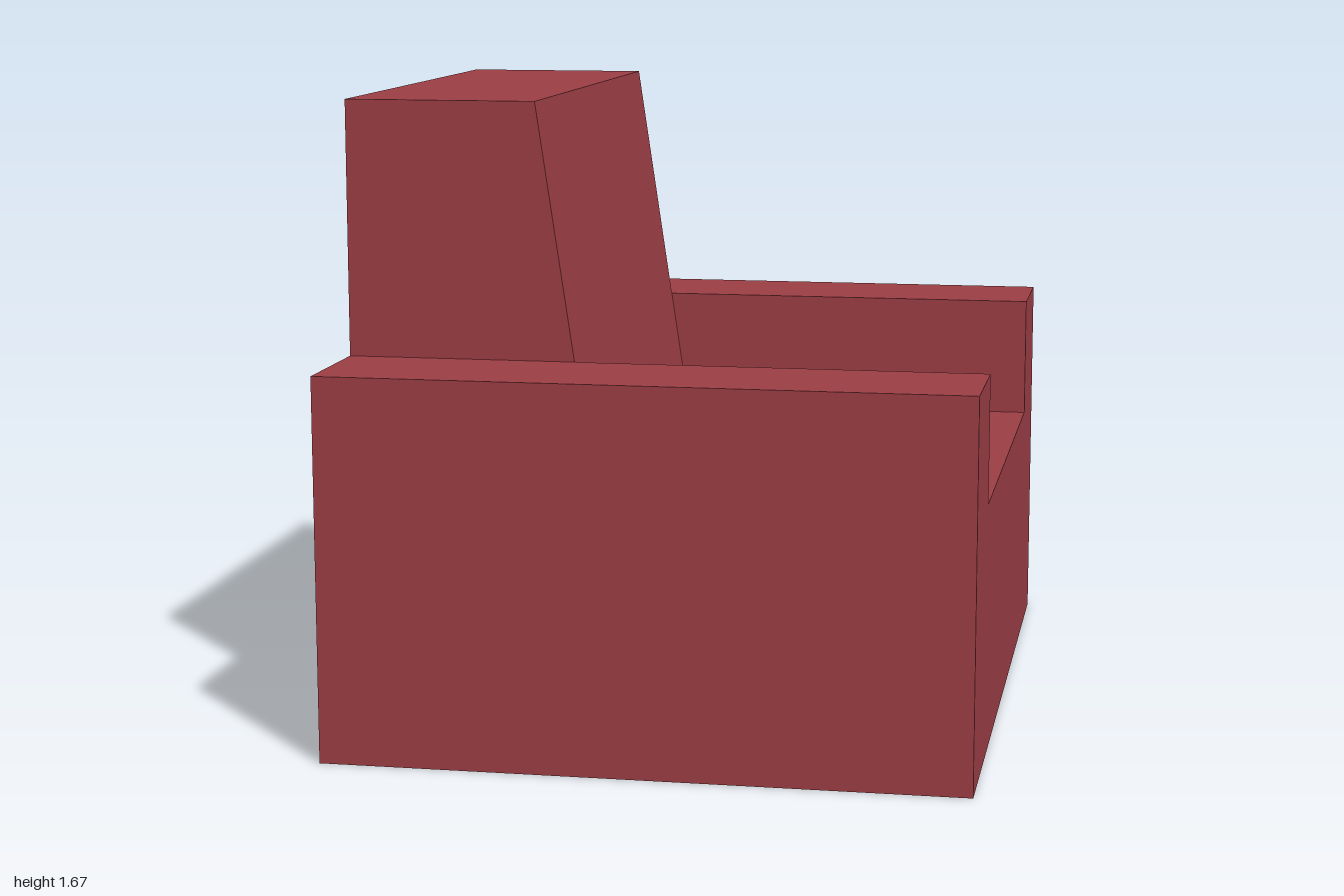
import * as THREE from 'three';

// Main dimensions of the armchair shell (open underneath)
const X = 0.833, Z = 1, INNER = 0.667;
const SEAT = 0.667, ARM = 1, TOP = 1.667;
// Front of the backrest slopes from the seat up to the top
const slopeX = (y) => -0.185 - 0.148 * (y - SEAT) / (TOP - SEAT);

export function createModel() {
  const chair = new THREE.Group();
  chair.name = 'armchair';
  const red = new THREE.MeshStandardMaterial({ color: 0x9a3d44, side: THREE.DoubleSide });
  red.name = 'red upholstery';

  // Flat convex panel, corners counter-clockwise seen from outside
  function panel(name, corners, parent = chair) {
    const points = [];
    for (let i = 1; i < corners.length - 1; i++) {
      points.push(...corners[0], ...corners[i], ...corners[i + 1]);
    }
    const geometry = new THREE.BufferGeometry();
    geometry.setAttribute('position', new THREE.Float32BufferAttribute(points, 3));
    geometry.computeVertexNormals();
    const mesh = new THREE.Mesh(geometry, red);
    mesh.name = name;
    parent.add(mesh);
  }

  // Rectangle facing along x, at a given x
  const acrossX = (x, y0, y1, z0, z1) => [[x, y0, z1], [x, y0, z0], [x, y1, z0], [x, y1, z1]];

  // Seat and the panel below its open edge
  const seatBack = slopeX(SEAT);
  panel('seat', [[seatBack, SEAT, INNER], [X, SEAT, INNER], [X, SEAT, -INNER], [seatBack, SEAT, -INNER]]);
  panel('seatApron', acrossX(X, 0, SEAT, -Z, Z));

  // Backrest: sloped cushion face, top and rear
  const topX = slopeX(TOP), armX = slopeX(ARM);
  panel('backrestFront', [[seatBack, SEAT, INNER], [seatBack, SEAT, -INNER], [topX, TOP, -INNER], [topX, TOP, INNER]]);
  panel('backrestTop', [[-X, TOP, INNER], [topX, TOP, INNER], [topX, TOP, -INNER], [-X, TOP, -INNER]]);
  panel('backrestRear', acrossX(-X, ARM, TOP, -INNER, INNER).reverse());
  panel('rearPanel', acrossX(-X, 0, ARM, -Z, Z).reverse());

  // Mirrored arms and backrest sides
  for (const s of [1, -1]) {
    const arm = new THREE.Group();
    arm.name = s > 0 ? 'frontArm' : 'backArm';
    chair.add(arm);
    const side = (name, corners) => {
      const placed = corners.map(([x, y, z]) => [x, y, z * s]);
      panel(name, s > 0 ? placed : placed.reverse(), arm);
    };
    side('armOuterSide', [[-X, 0, Z], [X, 0, Z], [X, ARM, Z], [-X, ARM, Z]]);
    side('armTop', [[-X, ARM, Z], [X, ARM, Z], [X, ARM, INNER], [-X, ARM, INNER]]);
    side('armEnd', acrossX(X, SEAT, ARM, INNER, Z));
    side('armInnerSide', [[X, SEAT, INNER], [seatBack, SEAT, INNER], [armX, ARM, INNER], [X, ARM, INNER]]);
    side('backrestSide', [[-X, ARM, INNER], [armX, ARM, INNER], [topX, TOP, INNER], [-X, TOP, INNER]]);
  }
  return chair;
}
